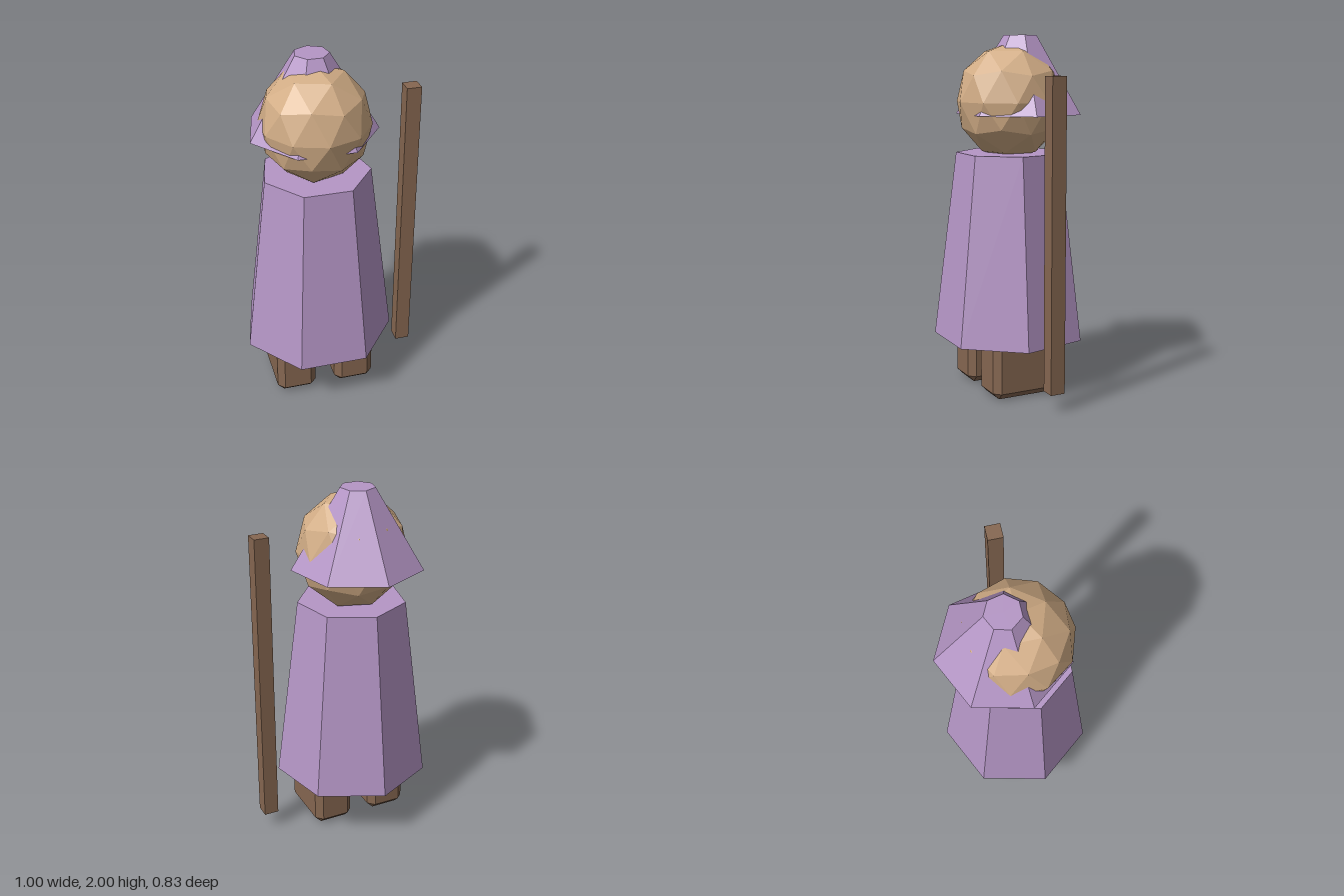
import * as THREE from 'three';
import { ConvexGeometry } from 'three/addons/geometries/ConvexGeometry.js';

const mat = (color) => new THREE.MeshStandardMaterial({ color, flatShading: true });

// Box with every edge cut at 45 degrees
function chamferedBox(w, h, d, c) {
  const points = [];
  for (const sx of [-1, 1]) for (const sy of [-1, 1]) for (const sz of [-1, 1]) {
    const x = w / 2, y = h / 2, z = d / 2;
    points.push(
      new THREE.Vector3(sx * x, sy * (y - c), sz * (z - c)),
      new THREE.Vector3(sx * (x - c), sy * y, sz * (z - c)),
      new THREE.Vector3(sx * (x - c), sy * (y - c), sz * z));
  }
  return new ConvexGeometry(points);
}

// Seven-sided cone section with a corner at the back and a flat at the front
function heptagonCone(topRadius, bottomRadius, height) {
  return new THREE.CylinderGeometry(topRadius, bottomRadius, height, 7, 1, false, Math.PI);
}

export function createModel() {
  const group = new THREE.Group();
  const purple = mat(0xb596c6);
  const skin = mat(0xd2ad86);
  const brown = mat(0x866751);
  const cx = -0.076, cz = 0.02;

  const add = (name, geometry, material, x, y, z) => {
    const mesh = new THREE.Mesh(geometry, material);
    mesh.name = name;
    mesh.position.set(x, y, z);
    group.add(mesh);
    return mesh;
  };

  // Robe
  add('robe', heptagonCone(0.305, 0.438, 1.05), purple, cx, 0.825, cz);

  // Head: icosphere with a vertex at the crown, slightly taller than wide
  const headGeo = new THREE.IcosahedronGeometry(0.305, 1);
  headGeo.rotateX(-Math.atan2(1 + Math.sqrt(5), 2));
  headGeo.rotateY(Math.PI / 10);
  headGeo.scale(1, 1.065, 1);
  add('head', headGeo, skin, cx, 1.635, cz);

  // Hat, set back on the head
  add('hat', heptagonCone(0.096, 0.364, 0.435), purple, cx, 1.7825, -0.047);

  // Feet
  const footGeo = chamferedBox(0.23, 0.4, 0.38, 0.037);
  for (const [name, side] of [['leftFoot', 1], ['rightFoot', -1]]) {
    add(name, footGeo, brown, cx + side * 0.172, 0.2, 0.06);
  }

  // Staff
  add('staff', new THREE.BoxGeometry(0.083, 1.685, 0.083), brown, 0.459, 0.9425, cz);

  return group;
}
